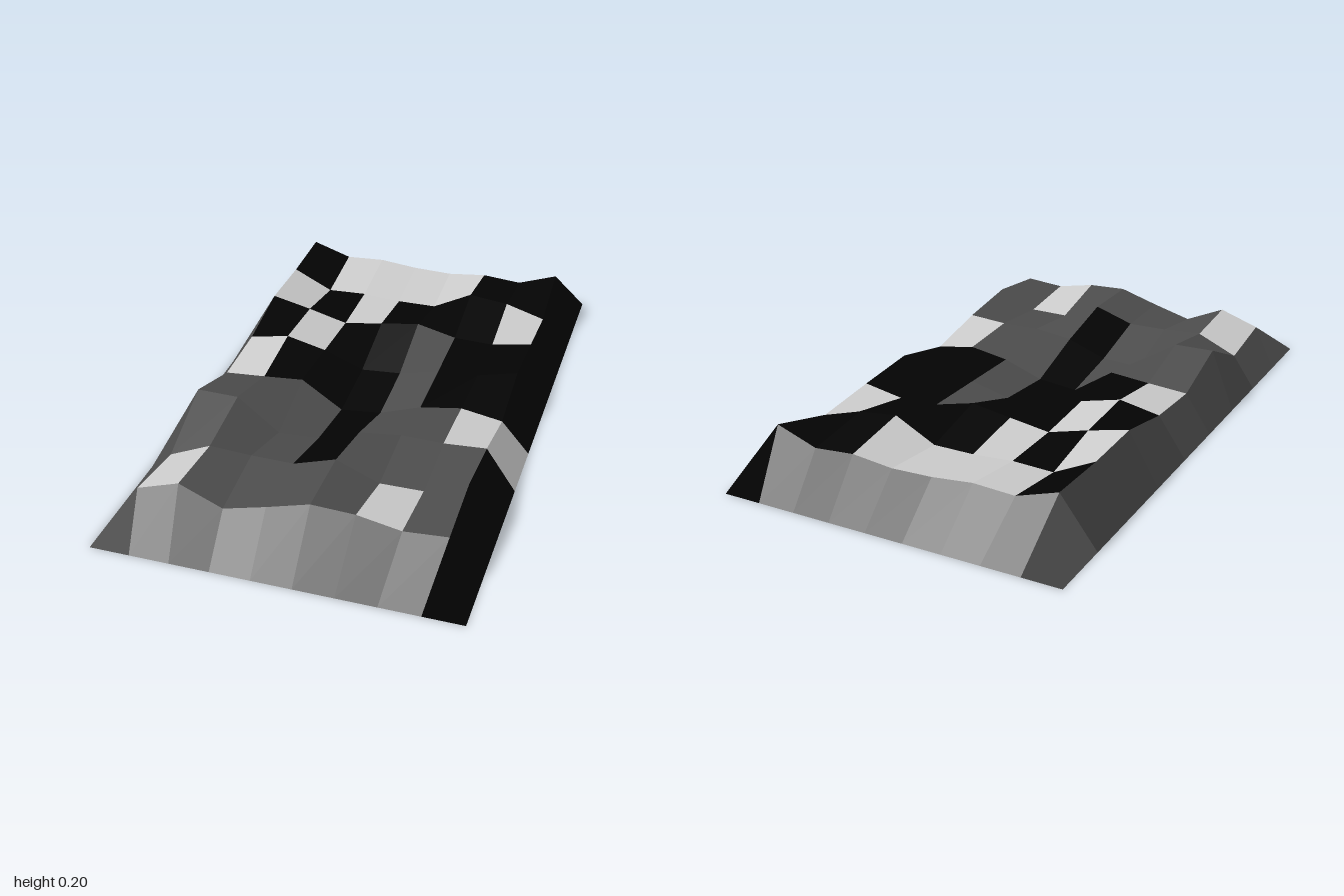
import * as THREE from 'three';

// Heights of the inner 8 x 8 points: rows run back to front, columns from -x to +x
const HEIGHTS = [
  [0.20, 0.153, 0.16, 0.145, 0.14, 0.155, 0.143, 0.193],
  [0.19, 0.12, 0.125, 0.115, 0.115, 0.188, 0.171, 0.128],
  [0.193, 0.16, 0.122, 0.143, 0.165, 0.13, 0.125, 0.15],
  [0.145, 0.172, 0.137, 0.08, 0.09, 0.125, 0.133, 0.168],
  [0.13, 0.14, 0.152, 0.056, 0.07, 0.12, 0.143, 0.118],
  [0.203, 0.20, 0.085, 0.092, 0.143, 0.16, 0.157, 0.166],
  [0.097, 0.16, 0.152, 0.15, 0.196, 0.135, 0.136, 0.198],
  [0.131, 0.179, 0.115, 0.153, 0.195, 0.189, 0.161, 0.172],
];

// Shade of each of the 9 x 9 tiles, sloping border included
const TILES = [
  'GGGGBBBBB',
  'GBLLLLBBB',
  'GLBLBBBLB',
  'GBLBBGBBB',
  'GLBBBGBBB',
  'GGGGBGGLL',
  'GGGGBGGGB',
  'GLGGGGLGB',
  'GGGGGGGGB',
];

const PATCHES = [
  { key: 'L', name: 'lightGround', color: 0xcccccc },
  { key: 'G', name: 'greyGround', color: 0x4c4c4c },
  { key: 'B', name: 'darkGround', color: 0x030303 },
];

// Grid point: the rim lies evenly spaced on the ground, the inside is raised
function point(i, j) {
  const u = i / 4.5 - 1, v = j / 4.5 - 1;
  if (i === 0 || j === 0 || i === 9 || j === 9) return new THREE.Vector3(u * 0.592, 0, v);
  return new THREE.Vector3(u * 0.639, HEIGHTS[j - 1][i - 1], v * 1.076);
}

// All tiles of one shade: two triangles each, sharing one normal so a tile reads as one facet
function patchGeometry(key) {
  const positions = [], normals = [];
  TILES.forEach((row, j) => {
    [...row].forEach((shade, i) => {
      if (shade !== key) return;
      const a = point(i, j), b = point(i, j + 1);
      const c = point(i + 1, j + 1), d = point(i + 1, j);
      const normal = c.clone().sub(a).cross(d.clone().sub(b)).normalize();
      for (const corner of [a, b, d, b, c, d]) {
        positions.push(...corner);
        normals.push(...normal);
      }
    });
  });
  const geometry = new THREE.BufferGeometry();
  geometry.setAttribute('position', new THREE.Float32BufferAttribute(positions, 3));
  geometry.setAttribute('normal', new THREE.Float32BufferAttribute(normals, 3));
  return geometry;
}

export function createModel() {
  const group = new THREE.Group();
  group.name = 'terrain';
  for (const { key, name, color } of PATCHES) {
    const material = new THREE.MeshStandardMaterial({ color, side: THREE.DoubleSide });
    const mesh = new THREE.Mesh(patchGeometry(key), material);
    mesh.name = name;
    group.add(mesh);
  }
  return group;
}
